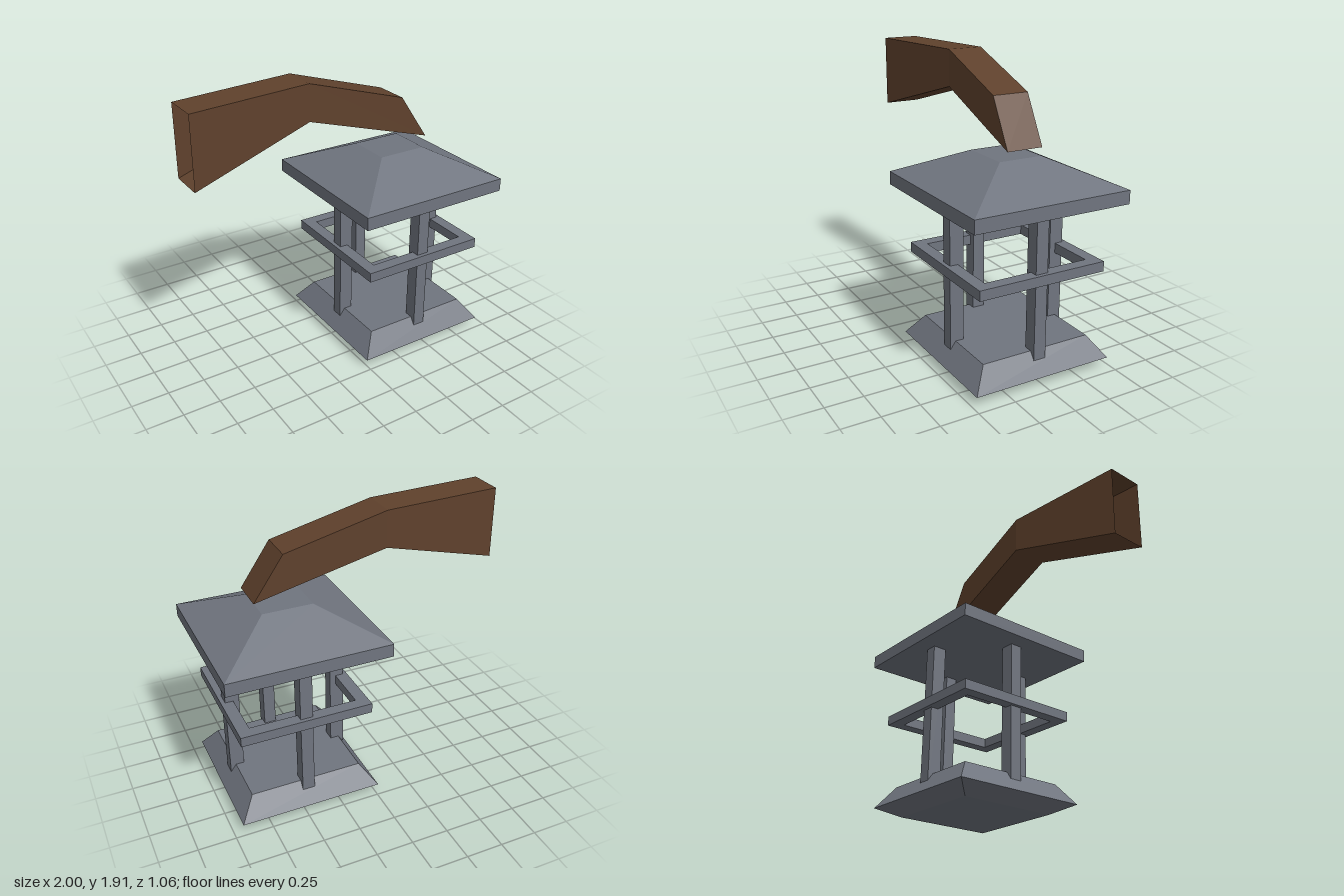
import * as THREE from 'three';

// Skin a series of four-cornered sections with flat quads, optionally capping each end.
function loft(sections, capStart = true, capEnd = true) {
  const pos = [];
  const quad = (a, b, c, d) => pos.push(...a, ...b, ...c, ...a, ...c, ...d);
  for (let s = 0; s < sections.length - 1; s++) {
    const p = sections[s], q = sections[s + 1];
    for (let i = 0; i < 4; i++) {
      const j = (i + 1) % 4;
      quad(p[i], p[j], q[j], q[i]);
    }
  }
  if (capStart) quad(...[...sections[0]].reverse());
  if (capEnd) quad(...sections[sections.length - 1]);
  const geo = new THREE.BufferGeometry();
  geo.setAttribute('position', new THREE.Float32BufferAttribute(pos, 3));
  geo.computeVertexNormals();
  return geo;
}

// Horizontal rectangle with half sizes hx, hz at height y.
const level = (y, hx, hz) => [[-hx, y, hz], [hx, y, hz], [hx, y, -hz], [-hx, y, -hz]];

// Beam section: x and y of its lower and upper edge, with front and back z of each.
const slice = (xb, yb, zbf, zbb, xt, yt, ztf, ztb) =>
  [[xb, yb, zbf], [xb, yb, zbb], [xt, yt, ztb], [xt, yt, ztf]];

export function createModel() {
  const model = new THREE.Group();
  model.name = 'hangingLantern';
  const wood = new THREE.MeshStandardMaterial({ color: 0x5f412c, side: THREE.DoubleSide });
  wood.name = 'brown wood';
  const metal = new THREE.MeshStandardMaterial({ color: 0x70757f });
  metal.name = 'grey metal';

  const add = (parent, name, geo, mat) => {
    const mesh = new THREE.Mesh(geo, mat);
    mesh.name = name;
    parent.add(mesh);
    return mesh;
  };

  // Bent bracket beam, open where it meets the wall
  add(model, 'bracketBeam', loft([
    slice(-1, 1.425, 0.12, -0.12, -1, 1.903, 0.12, -0.12),
    slice(-0.18, 1.667, 0.04, -0.2, -0.18, 1.912, 0.04, -0.2),
    slice(0.67, 1.425, 0.12, -0.122, 0.477, 1.722, 0.103, -0.14),
  ], false, true), wood);

  const lantern = new THREE.Group();
  lantern.name = 'lantern';
  lantern.position.x = 0.463;
  model.add(lantern);

  // Base with bevelled underside and sloping rim
  add(lantern, 'base', loft([
    level(0, 0.345, 0.345), level(0.065, 0.478, 0.478), level(0.205, 0.377, 0.377),
  ]), metal);

  // Roof with a straight eave and a flat-topped hip
  add(lantern, 'roof', loft([
    level(1.098, 0.536, 0.532), level(1.185, 0.536, 0.532), level(1.36, 0.167, 0.148),
  ]), metal);

  // One post in the middle of each side
  for (let i = 0; i < 4; i++) {
    const a = i * Math.PI / 2;
    const post = add(lantern, 'post', new THREE.BoxGeometry(0.083, 0.99, 0.094), metal);
    post.position.set(Math.sin(a) * 0.367, 0.605, Math.cos(a) * 0.367);
    post.rotation.y = a;
  }

  // Square rail around the posts
  const square = (path, h) => {
    path.moveTo(-h, -h);
    path.lineTo(h, -h);
    path.lineTo(h, h);
    path.lineTo(-h, h);
    path.closePath();
    return path;
  };
  const rail = square(new THREE.Shape(), 0.441);
  rail.holes.push(square(new THREE.Path(), 0.36));
  const railGeo = new THREE.ExtrudeGeometry(rail, { depth: 0.066, bevelEnabled: false });
  railGeo.rotateX(-Math.PI / 2);
  add(lantern, 'rail', railGeo, metal).position.y = 0.651;

  return model;
}
